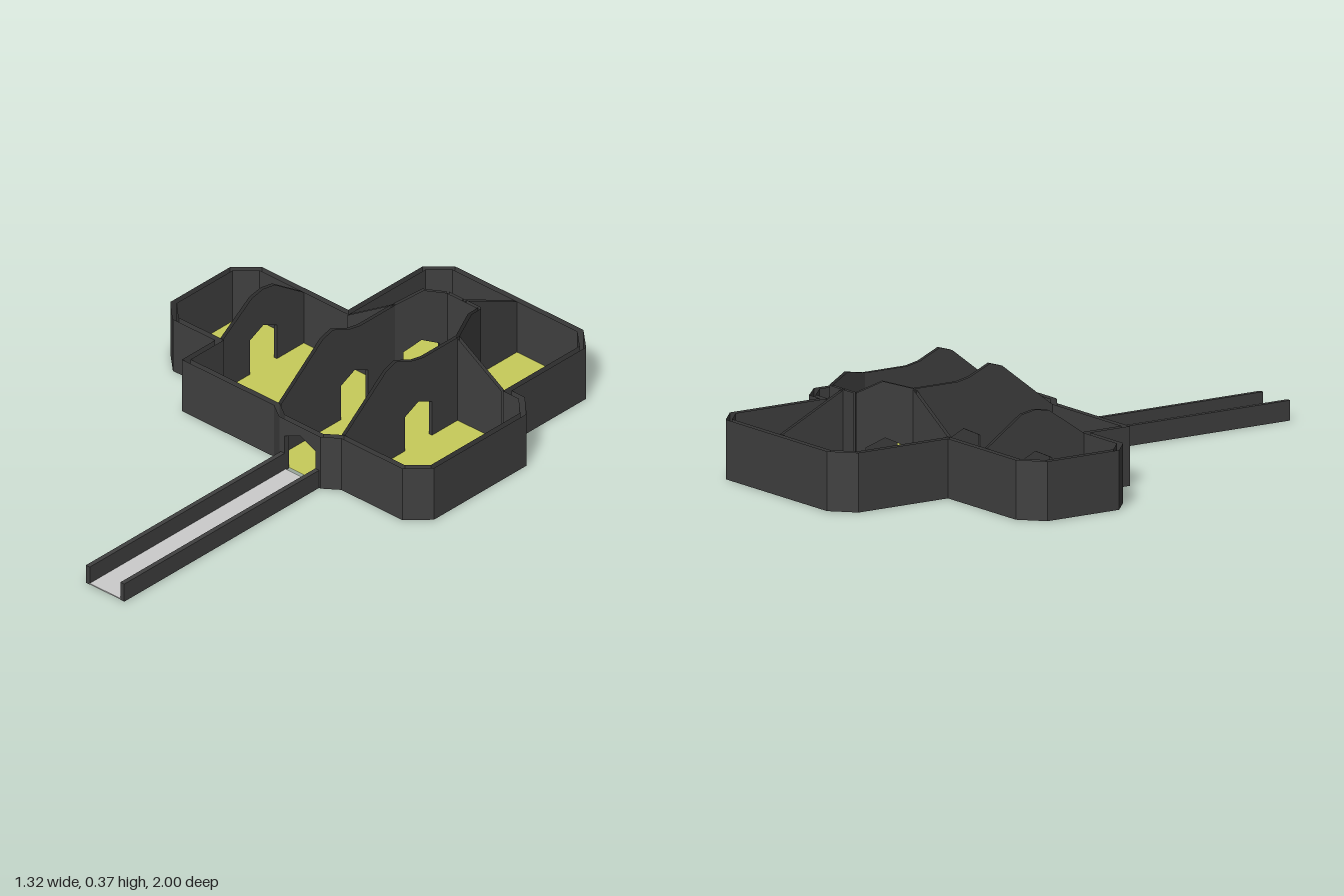
import * as THREE from 'three';

const H = 0.2; // height of the outer walls
const mat = (name, color) => {
  const m = new THREE.MeshStandardMaterial({ color, side: THREE.DoubleSide });
  m.name = name;
  return m;
};

export function createModel() {
  const group = new THREE.Group();
  const stone = mat('dark stone', 0x404040);
  const yellow = mat('yellow floor', 0xc8cc5a);
  const grey = mat('light grey path', 0xcccccc);

  const add = (name, geometry, material, parent = group) => {
    const mesh = new THREE.Mesh(geometry, material);
    mesh.name = name;
    parent.add(mesh);
    return mesh;
  };

  // Pointed doorway outline, from one foot to the other
  const doorway = ({ at, width = 0.13 }) => {
    const l = at - width / 2, r = at + width / 2;
    return [[l, 0], [l, 0.135], [at, 0.165], [r, 0.135], [r, 0]];
  };

  // Upright sheet from a to b (x, z); the profile is [distance, height]
  function sheet(a, b, profile, door) {
    const length = Math.hypot(b[0] - a[0], b[1] - a[1]);
    const outline = [[0, 0], ...(door ? doorway(door) : []), [length, 0], ...[...profile].reverse()];
    const geometry = new THREE.ShapeGeometry(new THREE.Shape(outline.map(p => new THREE.Vector2(...p))));
    geometry.rotateY(-Math.atan2(b[1] - a[1], b[0] - a[0]));
    return geometry.translate(a[0], 0, a[1]);
  }

  // Strip that lines a doorway between the two sheets of a wall
  function lining(a, b, door, from, to) {
    const pts = doorway(door), pos = [], idx = [];
    pts.forEach(([u, y], i) => {
      pos.push(u, y, from, u, y, to);
      if (i) idx.push(2 * i - 2, 2 * i - 1, 2 * i, 2 * i, 2 * i - 1, 2 * i + 1);
    });
    const g = new THREE.BufferGeometry();
    g.setAttribute('position', new THREE.Float32BufferAttribute(pos, 3));
    g.setIndex(idx);
    const flat = g.toNonIndexed();
    flat.computeVertexNormals();
    flat.rotateY(-Math.atan2(b[1] - a[1], b[0] - a[0]));
    return flat.translate(a[0], 0, a[1]);
  }

  // Floor plan, (x, z)
  const plan = [
    [-0.375, 0], [0.02, 0], [0.08, 0.04], [0.25, 0.04], [0.305, 0], [0.575, 0],
    [0.637, -0.06], [0.637, -0.49], [0.575, -0.55], [0.505, -0.55], [0.505, -0.92], [0.44, -0.98],
    [-0.115, -0.98], [-0.18, -0.92], [-0.18, -0.55], [-0.575, -0.55], [-0.64, -0.49],
    [-0.64, -0.22], [-0.575, -0.16], [-0.375, -0.16],
  ];
  const floor = new THREE.ShapeGeometry(new THREE.Shape(plan.map(([x, z]) => new THREE.Vector2(x, -z))));
  add('floor', floor.rotateX(-Math.PI / 2).translate(0, 0.004, 0), yellow);

  // Outer walls: an inner and an outer sheet with an open gap between
  const n = plan.length, gap = 0.02;
  const normal = i => {
    const a = plan[(i + n) % n], b = plan[(i + 1) % n];
    const l = Math.hypot(b[0] - a[0], b[1] - a[1]);
    return [-(b[1] - a[1]) / l, (b[0] - a[0]) / l];
  };
  const outer = plan.map(([x, z], i) => {
    const p = normal(i - 1), q = normal(i);
    const k = gap / (1 + p[0] * q[0] + p[1] * q[1]);
    return [x + (p[0] + q[0]) * k, z + (p[1] + q[1]) * k];
  });
  const outerWalls = new THREE.Group();
  outerWalls.name = 'outerWalls';
  group.add(outerWalls);
  const PORCH = 2;
  [plan, outer].forEach((loop, k) => loop.forEach((a, i) => {
    const b = loop[(i + 1) % n];
    const length = Math.hypot(b[0] - a[0], b[1] - a[1]);
    const door = i === PORCH ? { at: length / 2, width: 0.136 } : null;
    add(k ? 'outerFace' : 'innerFace', sheet(a, b, [[0, H], [length, H]], door), stone, outerWalls);
  }));
  add('frontDoorLining', lining(plan[2], plan[3], { at: 0.085, width: 0.136 }, 0, gap), stone, outerWalls);

  // Inner walls: two sheets each, with a lined doorway where there is one
  const T = 0.006;
  function innerWall(name, a, b, profile, door) {
    const wall = new THREE.Group();
    wall.name = name;
    group.add(wall);
    const l = Math.hypot(b[0] - a[0], b[1] - a[1]);
    const nx = -(b[1] - a[1]) / l * T, nz = (b[0] - a[0]) / l * T;
    for (const s of [-1, 1]) {
      const move = p => [p[0] + nx * s, p[1] + nz * s];
      add('wallFace', sheet(move(a), move(b), profile, door), stone, wall);
    }
    if (door) add('doorLining', lining(a, b, door, -T, T), stone, wall);
  }

  const hallProfile = [[0, H], [0.2, 0.355], [0.25, 0.37], [0.33, 0.335], [0.38, 0.325], [0.55, 0.325]];
  innerWall('hallRightWall', [0.02, 0], [0.02, -0.55], hallProfile, { at: 0.355 });
  innerWall('hallLeftWall', [0.303, 0], [0.303, -0.55], hallProfile, { at: 0.355 });
  innerWall('wingWall', [-0.385, -0.16], [-0.385, -0.55],
    [[0, H], [0.14, 0.295], [0.195, 0.305], [0.25, 0.295], [0.39, H]], { at: 0.195 });
  innerWall('rightDiagonalWall', [0.02, -0.55], [0.095, -0.73],
    [[0, 0.325], [0.06, 0.342], [0.105, 0.355], [0.195, 0.32]], { at: 0.0975 });
  innerWall('leftDiagonalWall', [0.303, -0.55], [0.235, -0.73],
    [[0, 0.325], [0.06, 0.338], [0.105, 0.347], [0.192, 0.32]], { at: 0.09, width: 0.15 });
  innerWall('hallBackWall', [0.095, -0.73], [0.235, -0.73], [[0, 0.32], [0.14, 0.32]]);
  innerWall('backDivider', [0.165, -0.73], [0.165, -0.98], [[0, 0.32], [0.25, H]]);
  innerWall('rightCrossWall', [-0.18, -0.55], [0.02, -0.55], [[0, H], [0.2, 0.325]]);
  innerWall('leftCrossWall', [0.303, -0.55], [0.505, -0.55], [[0, 0.325], [0.202, H]]);

  // Entrance path between two low kerb walls
  const box = (w, h, d, x, y, z) => new THREE.BoxGeometry(w, h, d).translate(x, y, z);
  add('path', box(0.138, 0.004, 0.945, 0.165, 0.003, 0.5275), grey);
  for (const s of [-1, 1]) {
    add('pathWall', box(0.017, 0.068, 0.95, 0.165 + s * 0.0765, 0.034, 0.525), stone);
  }
  return group;
}
